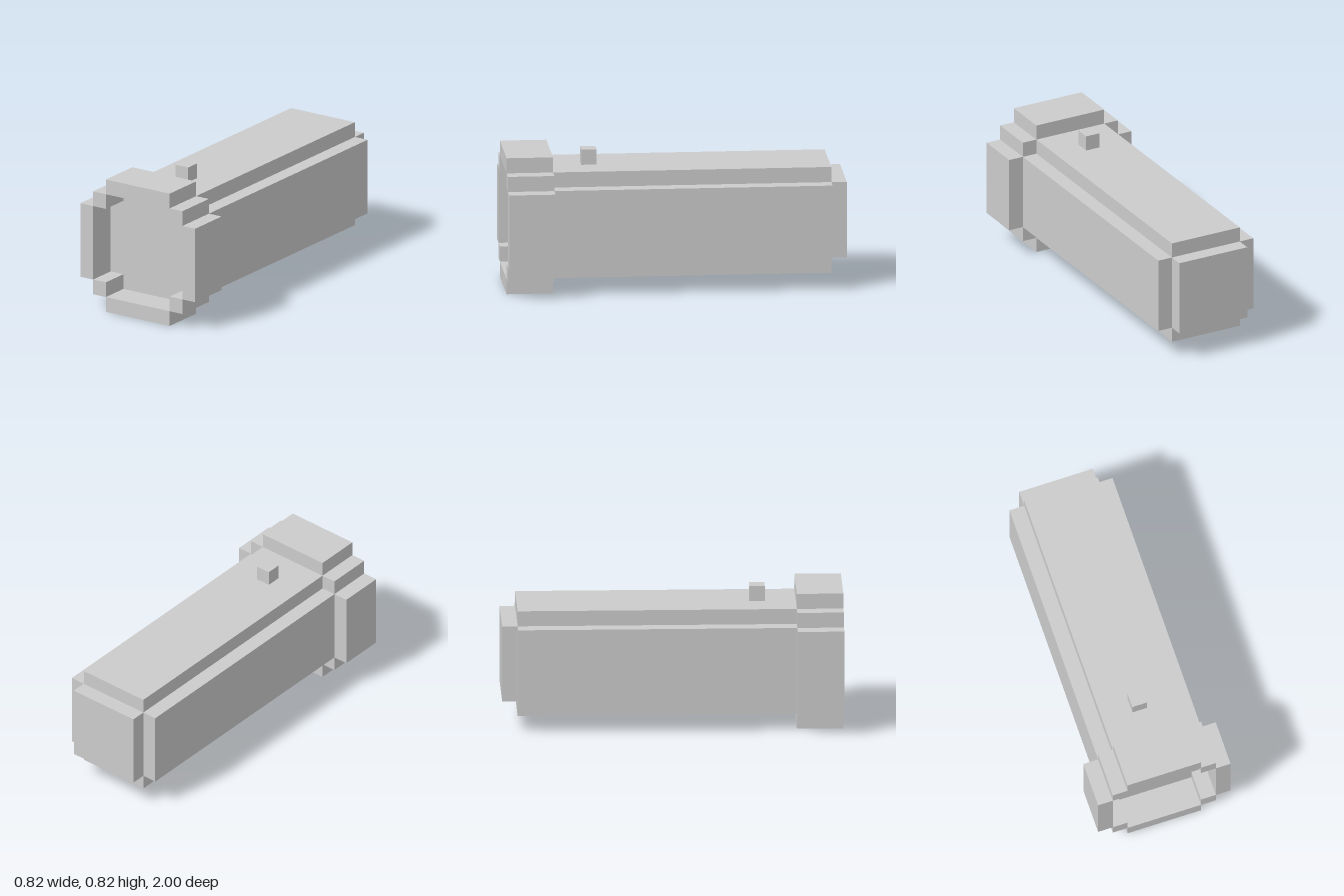
import * as THREE from 'three';

const U = 2 / 22; // one block
const MID = 4.5;  // height of the long axis, in blocks

export function createModel() {
  const group = new THREE.Group();
  const material = new THREE.MeshStandardMaterial({ color: 0xcccccc, flatShading: true });

  const add = (name, geometry, x, y, z) => {
    const mesh = new THREE.Mesh(geometry, material);
    mesh.name = name;
    mesh.position.set(x * U, (y + MID) * U, z * U);
    group.add(mesh);
  };
  const box = (name, w, h, d, x, y, z) =>
    add(name, new THREE.BoxGeometry(w * U, h * U, d * U), x, y, z);

  // Plus-shaped section: a 7 x 7 square with one block cut from each corner
  const a = 2.5 * U, b = 3.5 * U;
  const section = new THREE.Shape([
    [a, -b], [a, -a], [b, -a], [b, a], [a, a], [a, b],
    [-a, b], [-a, a], [-b, a], [-b, -a], [-a, -a], [-a, -b],
  ].map(([x, y]) => new THREE.Vector2(x, y)));
  const bar = (name, z0, z1) => add(name,
    new THREE.ExtrudeGeometry(section, { depth: (z1 - z0) * U, bevelEnabled: false }), 0, 0, z0);

  bar('barrel', -10, 8);
  bar('lens', 8, 9);
  box('tailCap', 5, 5, 1, 0, 0, -10.5);
  box('switchButton', 1, 1, 1, 0, 4, 5.5);

  // Stepped rim around the recessed lens
  for (const s of [-1, 1]) {
    box(s > 0 ? 'rimTop' : 'rimBottom', 5, 1, 3, 0, s * 4, 9.5);
    box(s > 0 ? 'rimLeft' : 'rimRight', 1, 5, 3, s * 4, 0, 9.5);
    for (const t of [-1, 1]) box('rimCorner', 1, 1, 3, s * 3, t * 3, 9.5);
  }
  return group;
}
